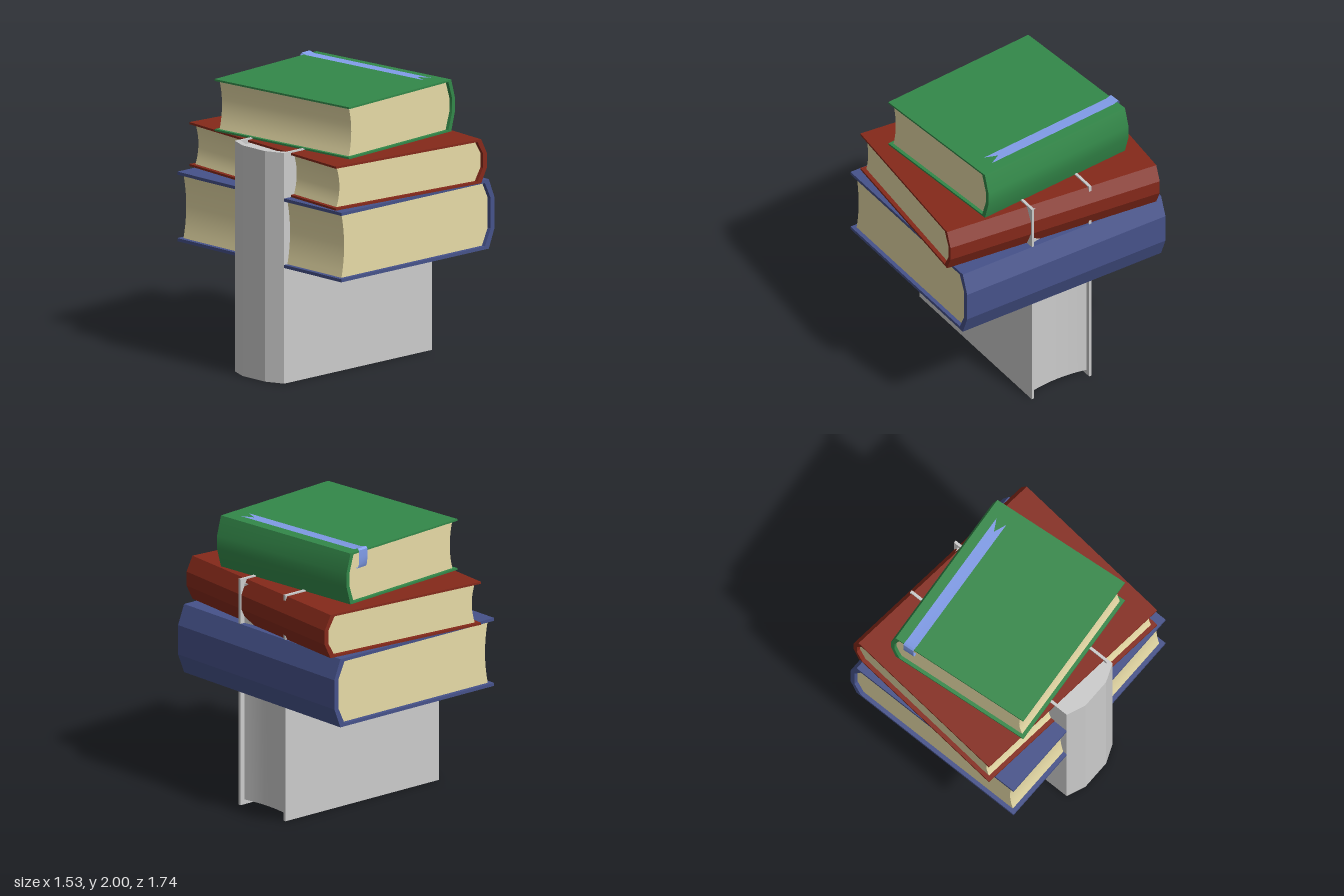
import * as THREE from 'three';
import { toCreasedNormals } from 'three/addons/utils/BufferGeometryUtils.js';

const material = (color, side = THREE.FrontSide) => new THREE.MeshStandardMaterial({ color, side });
const PAPER = 0xe6daa6;

// Extrude a shape along z, centred on z = 0
function extrudeCentred(shape, depth) {
  const geo = new THREE.ExtrudeGeometry(shape, { depth, bevelEnabled: false, curveSegments: 10 });
  geo.translate(0, 0, -depth / 2);
  return toCreasedNormals(geo, 0.35);
}

// A hardback lying flat: spine at +x, length along z, thickness along y
function makeBook(name, o) {
  const { width, height, length, cover, spineBoard, spineDepth, flat, recess, inset } = o;
  const book = new THREE.Group();
  book.name = name;
  const a = width / 2, h = height / 2, hi = h - cover;
  const s = a - spineDepth, si = s - spineBoard, ri = a - spineBoard;

  // Cover boards and faceted spine as one wrap-around profile
  const wrap = new THREE.Shape([
    [-a, -h], [s, -h], [a, -flat], [a, flat], [s, h], [-a, h],
    [-a, hi], [si, hi], [ri, flat], [ri, -flat], [si, -hi], [-a, -hi],
  ].map(([x, y]) => new THREE.Vector2(x, y)));
  const coverMesh = new THREE.Mesh(extrudeCentred(wrap, length), material(o.color));
  coverMesh.name = 'cover';

  // Page block with a hollow fore-edge
  const block = new THREE.Shape();
  block.moveTo(-a + recess, -hi);
  block.lineTo(si, -hi);
  block.lineTo(ri, -flat);
  block.lineTo(ri, flat);
  block.lineTo(si, hi);
  block.lineTo(-a + recess, hi);
  block.quadraticCurveTo(-a + recess + 0.05, 0, -a + recess, -hi);
  const pages = new THREE.Mesh(extrudeCentred(block, length - inset * 2), material(o.paper));
  pages.name = 'pages';

  book.add(coverMesh, pages);
  return book;
}

// Ribbon: a thin strip following (z, y) points, ending in a swallowtail
function makeRibbon(x0, x1, path, tailZ, notchZ) {
  const pos = [], index = [];
  path.forEach(([z, y], i) => {
    pos.push(x0, y, z, x1, y, z);
    if (i > 0) {
      const k = (i - 1) * 2;
      index.push(k, k + 2, k + 1, k + 1, k + 2, k + 3);
    }
  });
  // swallowtail: two points either side of the notch
  const [, yTop] = path[path.length - 1];
  const k = (path.length - 1) * 2, n = k + 2;
  pos.push(x0, yTop, tailZ, (x0 + x1) / 2, yTop, notchZ, x1, yTop, tailZ);
  index.push(k, n, n + 1, k, n + 1, k + 1, k + 1, n + 1, n + 2);
  const geo = new THREE.BufferGeometry();
  geo.setAttribute('position', new THREE.Float32BufferAttribute(pos, 3));
  geo.setIndex(index);
  const ribbon = new THREE.Mesh(toCreasedNormals(geo, 0.6), material(0x809ce8, THREE.DoubleSide));
  ribbon.name = 'ribbonBookmark';
  return ribbon;
}

export function createModel() {
  const model = new THREE.Group();
  model.name = 'bookStack';

  // Grey book standing on end, spine to -x
  const standing = makeBook('standingBook', {
    width: 1.45, height: 0.49, length: 1.625, cover: 0.02, spineBoard: 0.035, spineDepth: 0.055,
    flat: 0.11, recess: 0.035, inset: 0.035, color: 0xcccccc, paper: 0xcccccc,
  });
  standing.rotation.set(-Math.PI / 2, 0, Math.PI);
  standing.position.set(-0.035, 0.8125, 0);

  // Large blue book
  const blue = makeBook('blueBook', {
    width: 1.45, height: 0.49, length: 1.625, cover: 0.022, spineBoard: 0.037, spineDepth: 0.055,
    flat: 0.105, recess: 0.03, inset: 0.03, color: 0x46528a, paper: PAPER,
  });
  blue.position.set(0.02, 1.06, -0.002);

  // Red book, turned slightly
  const red = makeBook('redBook', {
    width: 1.316, height: 0.31, length: 1.62, cover: 0.015, spineBoard: 0.033, spineDepth: 0.05,
    flat: 0.05, recess: 0.03, inset: 0.03, color: 0x85291a, paper: PAPER,
  });
  red.rotation.y = -0.0954;
  red.position.set(0.0425, 1.46, -0.004);

  // Green book, turned the other way
  const green = makeBook('greenBook', {
    width: 1.1, height: 0.366, length: 1.225, cover: 0.013, spineBoard: 0.03, spineDepth: 0.04,
    flat: 0.045, recess: 0.025, inset: 0.025, color: 0x338849, paper: PAPER,
  });
  green.rotation.y = 0.09;
  green.position.set(0.015, 1.798, -0.009);

  // Ribbon from the page block, up over the back edge and along the cover
  green.add(makeRibbon(0.355, 0.438, [
    [-0.58, 0.055], [-0.612, 0.06], [-0.622, 0.085], [-0.625, 0.14],
    [-0.624, 0.19], [-0.612, 0.202], [-0.57, 0.19], [0.406, 0.188],
  ], 0.497, 0.406));

  model.add(standing, blue, red, green);
  return model;
}
